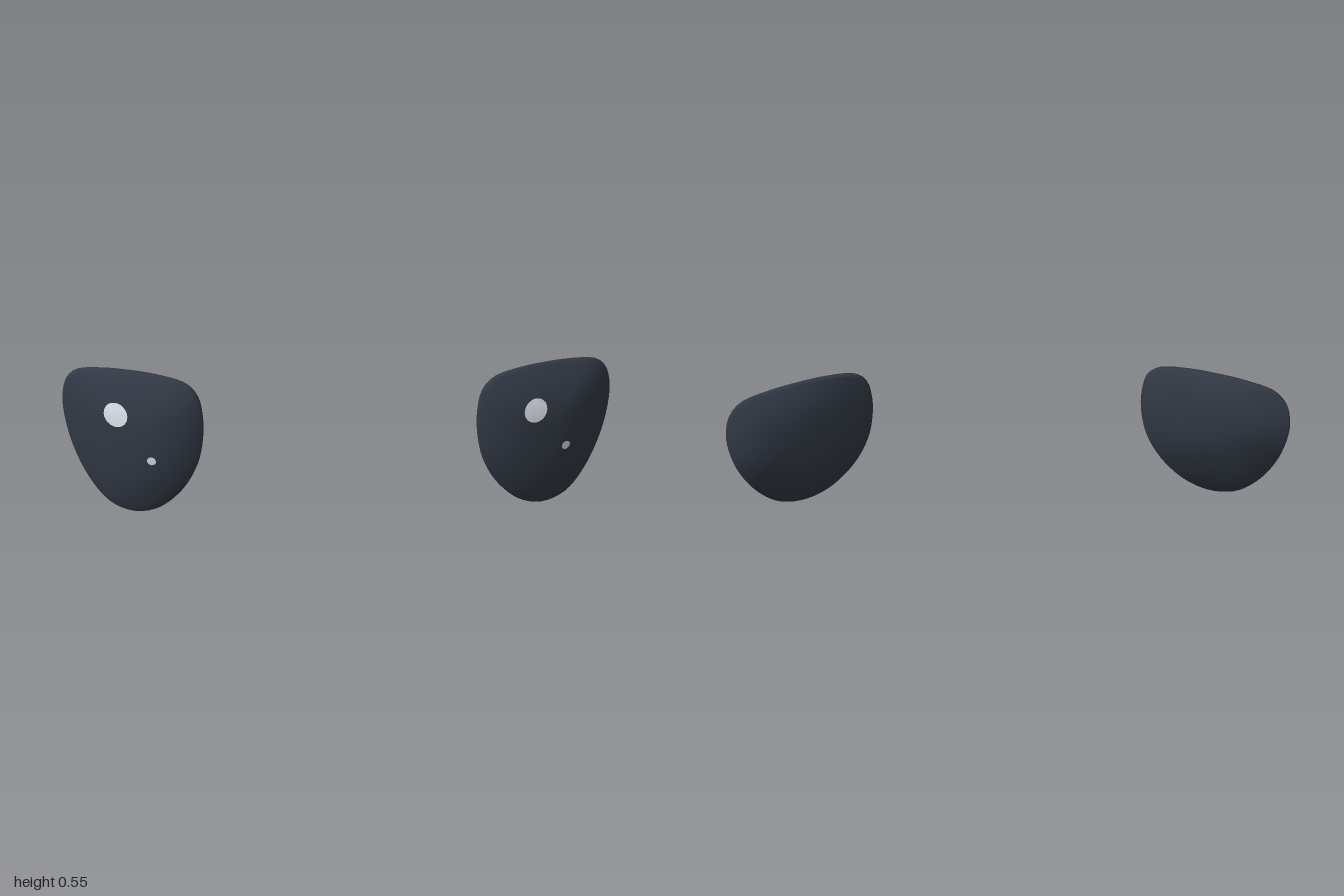
import * as THREE from 'three';

// Outline of the left lens, seen from the front
const OUTLINE = [
  [0.745, 0.548], [0.85, 0.542], [0.94, 0.523], [0.98, 0.485], [0.999, 0.42], [0.998, 0.34],
  [0.973, 0.225], [0.917, 0.105], [0.845, 0.025], [0.76, 0], [0.667, 0.025],
  [0.573, 0.11], [0.513, 0.22], [0.49, 0.33], [0.49, 0.42], [0.505, 0.485],
  [0.545, 0.526], [0.64, 0.545],
];
const CENTRE = new THREE.Vector2(0.75, 0.31);
const SEGMENTS = 72;

const curve = new THREE.CatmullRomCurve3(OUTLINE.map(([x, y]) => new THREE.Vector3(x, y, 0)), true);
const rim = curve.getSpacedPoints(SEGMENTS).slice(0, SEGMENTS).reverse();

// The lens is swept back towards the outer side and curls forward below
const baseZ = (x, y) => 0.091 - 0.39 * (x - 0.49) + 0.16 * (y - 0.45) ** 2;
const dome = (r) => 0.012 + 0.079 * (1 - Math.pow(r, 2.4));

// How far out (0 to 1) a point lies between the centre and the rim
function rimFraction(x, y) {
  const a = Math.atan2(y - CENTRE.y, x - CENTRE.x);
  let best = null, least = Infinity;
  for (const p of rim) {
    const d = Math.abs(Math.sin((Math.atan2(p.y - CENTRE.y, p.x - CENTRE.x) - a) / 2));
    if (d < least) { least = d; best = p; }
  }
  return Math.hypot(x - CENTRE.x, y - CENTRE.y) / Math.hypot(best.x - CENTRE.x, best.y - CENTRE.y);
}

// Joins rings around a front pole and an optional back pole
function ringSurface(rings, frontPole, backPole, side) {
  const n = rings[0].length;
  const points = [frontPole, ...rings.flat()];
  const index = [];
  const face = (a, b, c) => (side > 0 ? index.push(a, b, c) : index.push(a, c, b));
  const at = (ring, i) => 1 + ring * n + (i % n);
  for (let i = 0; i < n; i++) {
    face(0, at(0, i), at(0, i + 1));
    for (let k = 0; k < rings.length - 1; k++) {
      face(at(k, i), at(k + 1, i), at(k + 1, i + 1));
      face(at(k, i), at(k + 1, i + 1), at(k, i + 1));
    }
    if (backPole) face(points.length, at(rings.length - 1, i + 1), at(rings.length - 1, i));
  }
  if (backPole) points.push(backPole);
  const geometry = new THREE.BufferGeometry();
  geometry.setAttribute('position', new THREE.Float32BufferAttribute(
    points.flatMap(([x, y, z]) => [x * side, y, z]), 3));
  geometry.setIndex(index);
  geometry.computeVertexNormals();
  return geometry;
}

// Domed front, rounded rim and slightly raised back
function lensGeometry(side) {
  const profile = [];
  for (let k = 1; k <= 12; k++) profile.push([0.97 * k / 12, dome(0.97 * k / 12)]);
  profile.push([0.993, 0.011], [1, 0.003], [0.999, -0.004], [0.99, -0.008], [0.97, -0.01]);
  const rings = profile.map(([r, offset]) => rim.map((p) => {
    const x = CENTRE.x + (p.x - CENTRE.x) * r;
    const y = CENTRE.y + (p.y - CENTRE.y) * r;
    return [x, y, baseZ(x, y) + offset];
  }));
  const z = baseZ(CENTRE.x, CENTRE.y);
  const geometry = ringSurface(rings, [CENTRE.x, CENTRE.y, z + dome(0)], [CENTRE.x, CENTRE.y, z - 0.02], side);

  // Lean the normals of the last ring outwards, so the back shades as one soft curve
  const normals = geometry.attributes.normal;
  const first = 1 + (profile.length - 1) * SEGMENTS;
  const normal = new THREE.Vector3();
  rim.forEach((p, i) => {
    const out = new THREE.Vector3((p.x - CENTRE.x) * side, p.y - CENTRE.y, 0).setLength(0.6);
    normal.fromBufferAttribute(normals, first + i).add(out).normalize();
    normals.setXYZ(first + i, normal.x, normal.y, normal.z);
  });
  return geometry;
}

// Thin round patch that follows the dome
function glintGeometry(cx, cy, radius, side) {
  const onDome = (x, y) => [x, y, baseZ(x, y) + dome(rimFraction(x, y)) + 0.003];
  const rings = [0.33, 0.67, 1].map((f) => Array.from({ length: 24 }, (_, i) => {
    const a = i / 24 * Math.PI * 2;
    return onDome(cx + Math.cos(a) * radius * f, cy + Math.sin(a) * radius * f);
  }));
  return ringSurface(rings, onDome(cx, cy), null, side);
}

export function createModel() {
  const dark = new THREE.MeshStandardMaterial({ color: 0x323945 });
  dark.name = 'dark slate';
  const pale = new THREE.MeshStandardMaterial({ color: 0xe6edf4 });
  pale.name = 'pale glint';

  const model = new THREE.Group();
  model.name = 'eyes';
  for (const side of [1, -1]) {
    const eye = new THREE.Group();
    eye.name = side > 0 ? 'leftEye' : 'rightEye';
    const add = (name, geometry, material) => {
      const mesh = new THREE.Mesh(geometry, material);
      mesh.name = name;
      eye.add(mesh);
    };
    add('lens', lensGeometry(side), dark);
    // Glints sit to the same side on both eyes
    add('largeGlint', glintGeometry(side > 0 ? 0.70 : 0.80, 0.402, 0.043, side), pale);
    add('smallGlint', glintGeometry(side > 0 ? 0.822 : 0.677, 0.243, 0.016, side), pale);
    model.add(eye);
  }
  return model;
}
